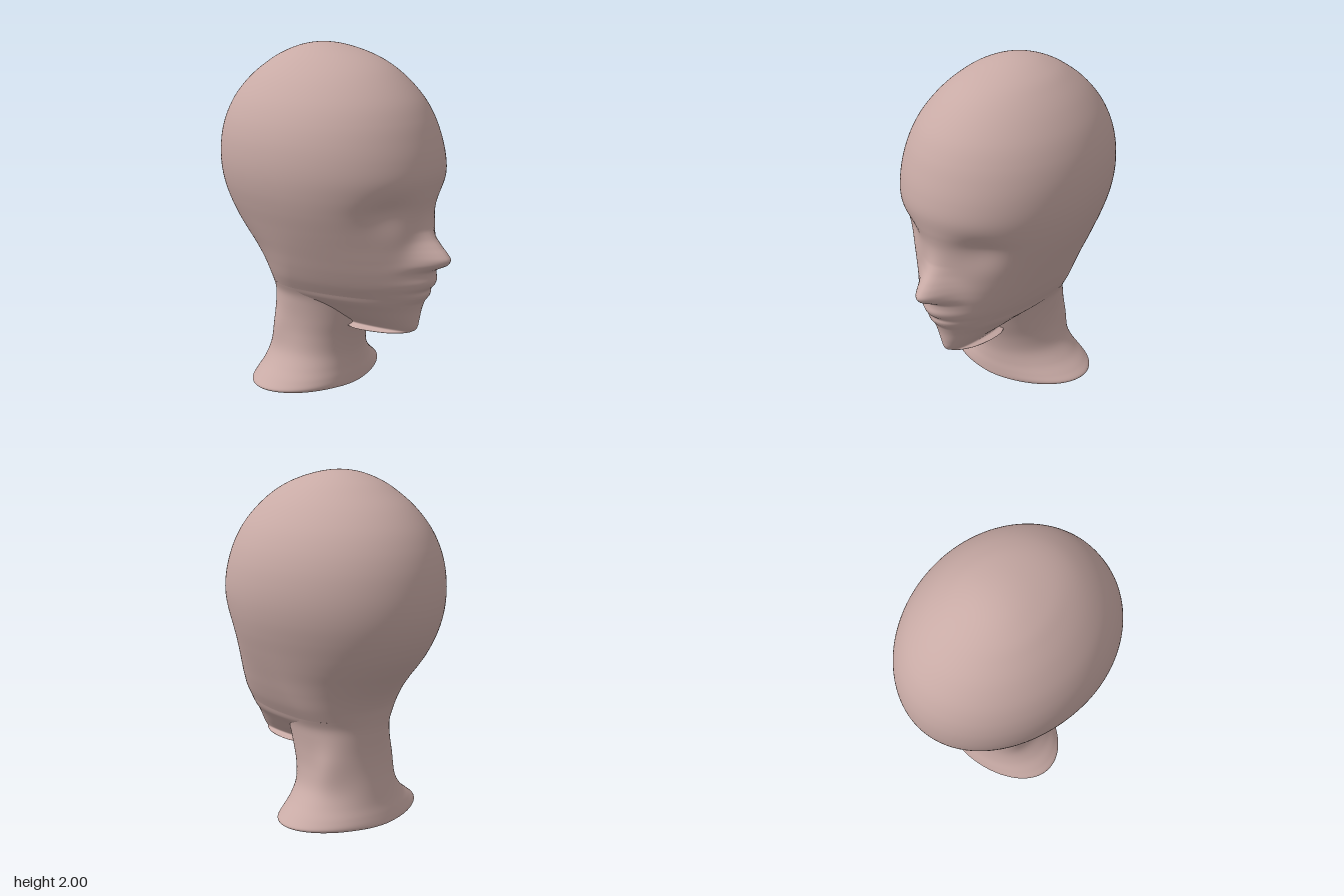
import * as THREE from 'three';

// Each row is one horizontal cross-section:
// [height, half width, back z, front z, z of the widest point]
const NECK = [
  [0.0, 0.37, -0.472, 0.135, -0.17], [0.01, 0.45, -0.477, 0.14, -0.17],
  [0.03, 0.478, -0.472, 0.14, -0.17], [0.065, 0.435, -0.46, 0.138, -0.17],
  [0.12, 0.365, -0.44, 0.133, -0.165], [0.2, 0.302, -0.42, 0.133, -0.16],
  [0.3, 0.275, -0.4, 0.15, -0.14], [0.4, 0.27, -0.39, 0.18, -0.12],
  [0.5, 0.278, -0.391, 0.21, -0.11], [0.56, 0.288, -0.396, 0.23, -0.1],
  [0.61, 0.31, -0.405, 0.25, -0.1],
];
const HEAD = [
  [0.61, 0.31, -0.405, 0.605, -0.1], [0.68, 0.35, -0.424, 0.624, -0.08],
  [0.76, 0.386, -0.467, 0.626, -0.05], [0.84, 0.418, -0.528, 0.617, -0.025],
  [0.92, 0.45, -0.597, 0.607, -0.01], [1.0, 0.48, -0.657, 0.607, 0.0],
  [1.1, 0.515, -0.71, 0.617, 0.0], [1.2, 0.542, -0.742, 0.637, -0.01],
  [1.3, 0.557, -0.755, 0.65, -0.02], [1.4, 0.558, -0.752, 0.638, -0.03],
  [1.5, 0.545, -0.735, 0.61, -0.04], [1.6, 0.515, -0.7, 0.57, -0.05],
  [1.7, 0.465, -0.642, 0.51, -0.06], [1.8, 0.39, -0.553, 0.418, -0.07],
  [1.88, 0.307, -0.45, 0.315, -0.08], [1.94, 0.222, -0.348, 0.19, -0.09],
  [1.985, 0.112, -0.225, 0.035, -0.1], [2.0, 0, -0.1, -0.1, -0.1],
];
// the row reached by carrying on over the crown, which keeps the top round
const PAST_CROWN = [1.985, -0.112, 0.035, -0.225, -0.1];
const JAW = [
  [0.375, 0, 0.22, 0.22, 0.22], [0.378, 0.125, 0.1, 0.47, 0.22],
  [0.395, 0.088, 0.05, 0.535, 0.22], [0.42, 0.105, 0, 0.555, 0.2],
  [0.46, 0.155, -0.05, 0.562, 0.1], [0.52, 0.225, -0.15, 0.57, 0],
  [0.57, 0.285, -0.2, 0.585, -0.07], [0.61, 0.31, -0.2, 0.605, -0.1],
];

// Centre line relief of nose and lips: [height, forward offset, spread in x]
const RELIEF = [
  [0.57, 0, 0.13], [0.595, 0.008, 0.13], [0.625, 0.012, 0.13], [0.65, 0.004, 0.13],
  [0.675, 0.024, 0.13], [0.705, 0.035, 0.13], [0.74, 0.03, 0.12], [0.77, 0.036, 0.12],
  [0.79, 0.075, 0.115], [0.815, 0.126, 0.108], [0.845, 0.149, 0.1], [0.87, 0.137, 0.096],
  [0.905, 0.105, 0.09], [0.95, 0.062, 0.08], [1.0, 0.028, 0.075], [1.08, 0.007, 0.07],
  [1.16, 0, 0.07],
];

const gauss = (d, s) => Math.exp(-((d / s) ** 2));

// Smooth interpolation between the rows, by row index
function sampleRow(rows, u, past = rows[rows.length - 1]) {
  const i = Math.min(Math.floor(u), rows.length - 2);
  const t = u - i;
  const before = rows[Math.max(0, i - 1)], after = rows[i + 2] ?? past;
  return rows[i].map((p1, c) => {
    const p2 = rows[i + 1][c];
    const m1 = (p2 - before[c]) / 2, m2 = (after[c] - p1) / 2;
    return (2 * t ** 3 - 3 * t ** 2 + 1) * p1 + (t ** 3 - 2 * t ** 2 + t) * m1
      + (3 * t ** 2 - 2 * t ** 3) * p2 + (t ** 3 - t ** 2) * m2;
  });
}

function relief(x, y) {
  let dz = 0;
  const k = RELIEF.findIndex((r, i) => i > 0 && y >= RELIEF[i - 1][0] && y <= r[0]);
  if (k > 0) {
    const y0 = RELIEF[k - 1][0];
    const [, depth, spread] = sampleRow(RELIEF, k - 1 + (y - y0) / (RELIEF[k][0] - y0));
    dz += depth * gauss(x, spread);
  }
  // eye sockets, with a sharper edge under the brow
  return dz - 0.042 * gauss(Math.abs(x) - 0.25, 0.12) * gauss(y - 1.12, y > 1.12 ? 0.085 : 0.12);
}

// Skin the cross-sections; shape(point) may move each vertex
function loft(rows, steps, shape, past) {
  const sides = 128, rings = (rows.length - 1) * steps;
  const pos = [], index = [];
  const p = new THREE.Vector3();
  for (let j = 0; j <= rings; j++) {
    const [y, w, back, front, mid] = sampleRow(rows, j / steps, past);
    for (let i = 0; i < sides; i++) {
      const a = (i / sides) * Math.PI * 2, c = Math.cos(a);
      p.set(w * Math.sin(a), y, mid + c * (c > 0 ? front - mid : mid - back));
      shape(p);
      pos.push(p.x, p.y, p.z);
      if (j === rings) continue;
      const n = (i + 1) % sides, r = j * sides, s = r + sides;
      index.push(r + i, r + n, s + n, r + i, s + n, s + i);
    }
  }
  const g = new THREE.BufferGeometry();
  g.setAttribute('position', new THREE.Float32BufferAttribute(pos, 3));
  g.setIndex(index);
  g.computeVertexNormals();
  return g;
}

export function createModel() {
  const skin = new THREE.MeshStandardMaterial({ color: 0xc8aaa5, side: THREE.DoubleSide });
  skin.name = 'dusty pink';
  const group = new THREE.Group();
  group.name = 'displayHead';
  const add = (name, geometry) => {
    const mesh = new THREE.Mesh(geometry, skin);
    mesh.name = name;
    group.add(mesh);
  };

  const face = (p) => { if (p.z > 0.2) p.z += relief(p.x, p.y); };
  // the back corners of the neck are a little square
  const nape = (p) => { p.x *= 1 + 0.15 * gauss(p.y - 0.35, 0.13) * gauss(p.z + 0.3, 0.1); };

  add('neck', loft(NECK, 6, nape));
  add('head', loft(HEAD, 10, face, PAST_CROWN));
  add('jaw', loft(JAW, 6, face));
  return group;
}
